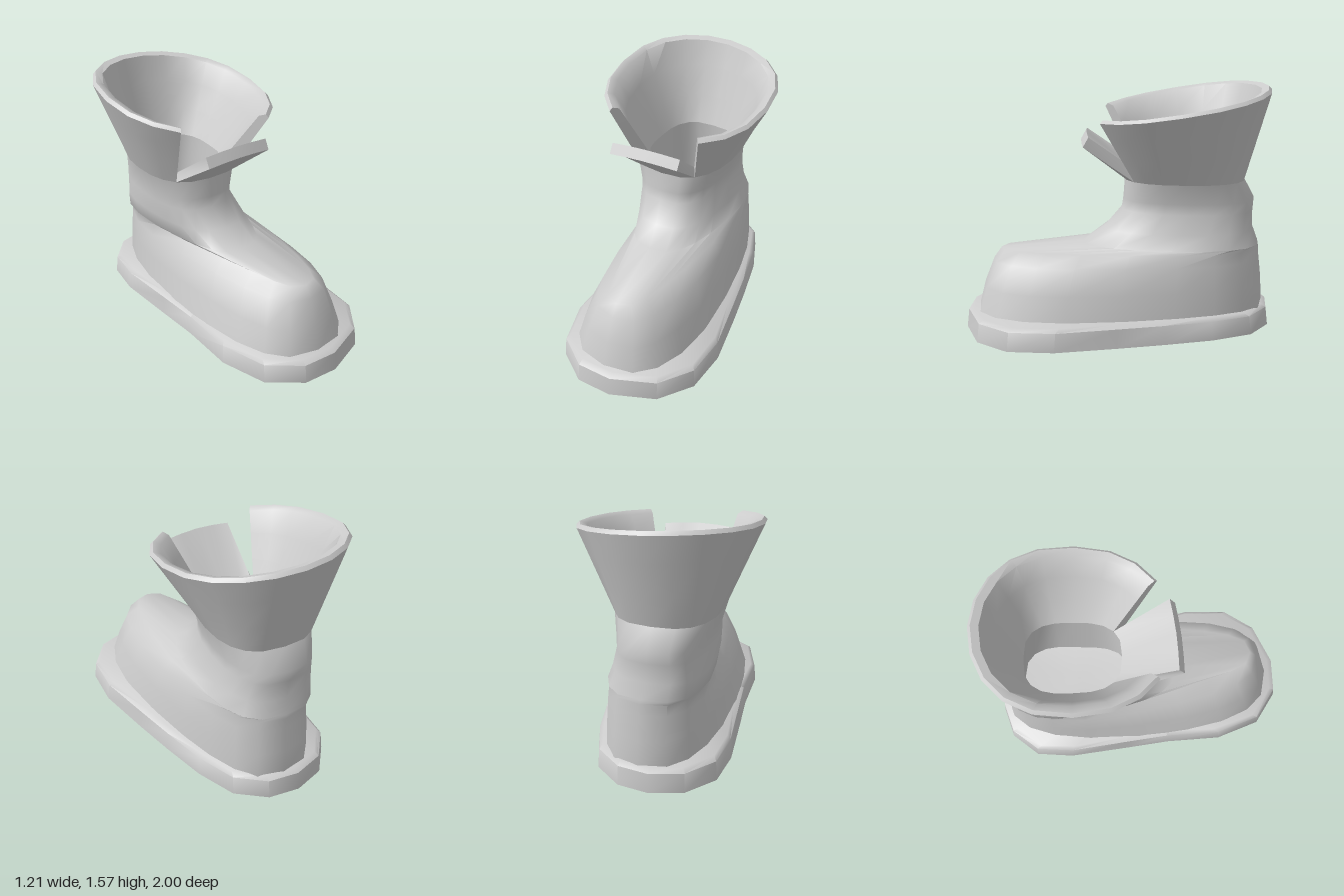
import * as THREE from 'three';
import { toCreasedNormals } from 'three/addons/utils/BufferGeometryUtils.js';

const N = 20;
const V = (x, y, z) => new THREE.Vector3(x, y, z);
const lerp = THREE.MathUtils.lerp;
const signedPow = (v, e) => Math.sign(v) * Math.abs(v) ** e;

// Closed cross-section, starting at the front and passing +x, back, -x.
// Left and right limits change smoothly from heel to toe.
function ring(y, back, front, heelMin, heelMax, toeMin, toeMax, power = 0.7, tiltX = 0, tiltZ = 0) {
  return Array.from({ length: N }, (_, i) => {
    const t = (i / N) * Math.PI * 2;
    const c = signedPow(Math.cos(t), 0.85), s = signedPow(Math.sin(t), power);
    const k = THREE.MathUtils.smoothstep((c + 1) / 2, 0, 1);
    const lo = lerp(heelMin, toeMin, k), hi = lerp(heelMax, toeMax, k);
    const x = (lo + hi) / 2 + ((hi - lo) / 2) * s;
    const z = (back + front) / 2 + ((front - back) / 2) * c;
    return V(x, y + tiltX * x + tiltZ * z, z);
  });
}

// Triangles between successive rows of points
function skin(out, rows, closed = false) {
  const tri = (a, b, c) => {
    if (a.distanceTo(b) < 1e-5 || b.distanceTo(c) < 1e-5 || a.distanceTo(c) < 1e-5) return;
    for (const p of [a, b, c]) out.push(p.x, p.y, p.z);
  };
  for (let r = 0; r + 1 < rows.length; r++) {
    const p = rows[r], q = rows[r + 1], n = p.length;
    for (let i = 0; i < (closed ? n : n - 1); i++) {
      const j = (i + 1) % n;
      tri(p[i], p[j], q[j]);
      tri(p[i], q[j], q[i]);
    }
  }
}

function makeMesh(name, positions, material, crease) {
  const g = new THREE.BufferGeometry();
  g.setAttribute('position', new THREE.Float32BufferAttribute(positions, 3));
  const mesh = new THREE.Mesh(toCreasedNormals(g, crease), material);
  mesh.name = name;
  return mesh;
}

const mixRows = (a, b, t) => a.map((p, i) => p.clone().lerp(b[i], t));

// Pull a row towards its own centre by a fixed distance
function inset(row, d, dy = 0) {
  const c = row.reduce((s, p) => s.add(p), V(0, 0, 0)).divideScalar(row.length);
  return row.map((p) => {
    const dir = V(c.x - p.x, 0, c.z - p.z).normalize();
    return p.clone().addScaledVector(dir, d).add(V(0, dy, 0));
  });
}

export function createModel() {
  const boot = new THREE.Group();
  boot.name = 'boot';
  const material = new THREE.MeshStandardMaterial({ color: 0xcccccc });

  // Sole: curved outline with a slightly tapered, bevelled wall
  const outline = [[0.2, 1], [0.47, 0.88], [0.61, 0.67], [0.62, 0.38], [0.54, 0], [0.47, -0.3],
    [0.39, -0.6], [0.28, -0.85], [0.1, -0.98], [-0.1, -1], [-0.3, -0.93], [-0.44, -0.75],
    [-0.46, -0.5], [-0.41, -0.1], [-0.37, 0.2], [-0.35, 0.57], [-0.24, 0.86], [-0.03, 1]];
  const base = outline.map(([x, z]) => V(x, 0.005, z));
  const point = (y) => base.map(() => V(0.05, y, 0));
  const sole = [];
  skin(sole, [point(0.005), base, inset(base, 0.015, 0.12), inset(base, 0.05, 0.14), point(0.145)], true);
  boot.add(makeMesh('sole', sole, material, 0.9));

  // Foot and ankle: stacked sections from the sole up to the neck
  const neck = ring(0.97, -0.81, -0.03, -0.38, 0.26, -0.37, 0.25);
  const foot = [];
  skin(foot, [
    ring(0.11, -0.95, 0.935, -0.4, 0.36, -0.33, 0.56),
    ring(0.3, -0.94, 0.885, -0.39, 0.35, -0.26, 0.49),
    ring(0.46, -0.92, 0.82, -0.38, 0.34, -0.18, 0.42),
    ring(0.53, -0.915, 0.77, -0.38, 0.33, -0.07, 0.31),
    ring(0.555, -0.91, 0.24, -0.375, 0.31, -0.24, 0.27),
    ring(0.65, -0.875, 0.1, -0.37, 0.27, -0.29, 0.25),
    ring(0.77, -0.875, -0.01, -0.35, 0.23, -0.33, 0.21),
    ring(0.84, -0.88, -0.02, -0.345, 0.225, -0.335, 0.215),
    neck,
  ], true);
  boot.add(makeMesh('footAndAnkle', foot, material, 1.0));

  // Flared cuff: thick wall, open at the front
  const rim = ring(1.41, -0.98, 0.22, -0.62, 0.5, -0.58, 0.52, 1, -0.07, -0.148);
  const lowRim = inset(rim, 0.02, -0.03).map((p, i) => p.lerp(rim[i], 0.5));
  const neckIn = inset(neck, 0.08, 0.03);
  const rimIn = inset(rim, 0.075, -0.01);
  const cuffPart = (row) => row.slice(2, N - 1);
  const steps = [0, 0.35, 0.7, 1];
  const outer = steps.map((t) => cuffPart(mixRows(neck, lowRim, t)));
  const inner = steps.map((t) => cuffPart(mixRows(neckIn, rimIn, t)));
  const crown = cuffPart(inset(rim, 0.03, 0.005));
  const cuff = [];
  skin(cuff, [...outer, crown, ...inner.slice().reverse()]);
  const last = outer[0].length - 1;
  skin(cuff, steps.map((_, k) => [inner[k][0], outer[k][0]]));
  skin(cuff, steps.map((_, k) => [outer[k][last], inner[k][last]]));
  skin(cuff, [[inner[3][0], outer[3][0]], [crown[0], crown[0]]]);
  skin(cuff, [[outer[3][last], inner[3][last]], [crown[last], crown[last]]]);
  boot.add(makeMesh('cuff', cuff, material, 0.9));

  // Lining inside the ankle, closed by an insole
  const floor = inset(ring(0.6, -0.85, 0, -0.36, 0.25, -0.3, 0.23), 0.08);
  const lining = [];
  skin(lining, [neckIn, floor, floor.map(() => V(-0.06, 0.58, -0.42))], true);
  boot.add(makeMesh('lining', lining, material, 1.0));

  // Tongue: slab leaning forward out of the opening
  const frontPart = (row) => [...row.slice(N - 2), ...row.slice(0, 3)];
  const root = frontPart(neck), rootIn = frontPart(neckIn);
  const tip = (y, z) => root.map((_, i) => {
    const u = i / 4, arch = Math.sin(u * Math.PI);
    return V(lerp(-0.25, 0.21, u), y + 0.015 * arch, z - 0.04 * u + 0.01 * arch);
  });
  const tipLow = tip(1.2, 0.265), tipHigh = tip(1.262, 0.23);
  const tongue = [];
  skin(tongue, [root, tipLow, tipHigh, rootIn]);
  skin(tongue, [[rootIn[0], root[0]], [tipHigh[0], tipLow[0]]]);
  skin(tongue, [[root[4], rootIn[4]], [tipLow[4], tipHigh[4]]]);
  boot.add(makeMesh('tongue', tongue, material, 0.7));

  return boot;
}
